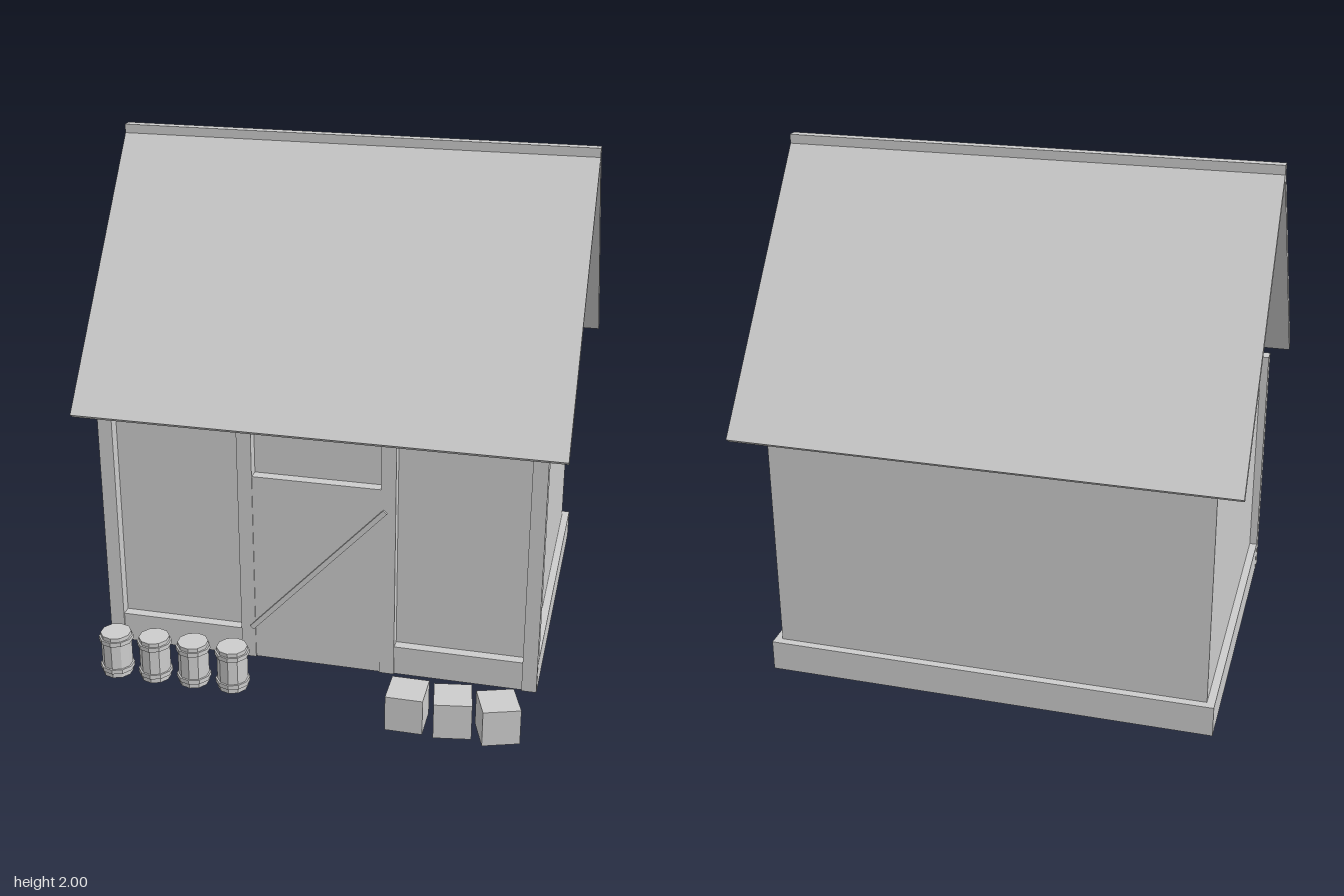
import * as THREE from 'three';

export function createModel() {
  const house = new THREE.Group();
  house.name = 'house';
  const grey = new THREE.MeshStandardMaterial({ color: 0xcccccc });
  grey.name = 'plainGrey';
  grey.flatShading = true;

  const add = (name, geometry, parent = house) => {
    const mesh = new THREE.Mesh(geometry, grey);
    mesh.name = name;
    parent.add(mesh);
    return mesh;
  };
  // Box given by its limits on each axis
  const block = (name, x0, x1, y0, y1, z0, z1) => {
    const mesh = add(name, new THREE.BoxGeometry(x1 - x0, y1 - y0, z1 - z0));
    mesh.position.set((x0 + x1) / 2, (y0 + y1) / 2, (z0 + z1) / 2);
    return mesh;
  };

  const ridgeZ = -0.153;

  // Foundation and walls
  block('foundation', -0.875, 0.875, 0, 0.122, -0.816, 0.51);
  block('walls', -0.845, 0.845, 0.122, 1.014, -0.785, 0.47);

  // Timber posts across the front
  for (const x of [-0.847, -0.286, 0.28, 0.845]) {
    block('frontPost', x - 0.029, x + 0.029, 0, 1.014, 0.46, 0.517);
  }

  // Door with diagonal brace
  block('door', -0.257, 0.251, 0.045, 0.805, 0.46, 0.513);
  const brace = add('doorBrace', new THREE.BoxGeometry(0.79, 0.02, 0.025));
  brace.position.set(0, 0.428, 0.513);
  brace.rotation.z = 0.82;

  // Thin gables standing above the side walls
  const triangle = new THREE.Shape([
    new THREE.Vector2(-0.631, 1.022),
    new THREE.Vector2(0.631, 1.022),
    new THREE.Vector2(0, 1.832),
  ]);
  for (const side of [-1, 1]) {
    const gable = add('gable', new THREE.ExtrudeGeometry(triangle, { depth: 0.008, bevelEnabled: false }));
    gable.rotation.y = Math.PI / 2;
    gable.position.set(side * 0.841 - 0.004, 0, -0.154);
  }

  // Roof slabs, mirrored about the ridge
  for (const side of [-1, 1]) {
    const slab = new THREE.Shape([
      new THREE.Vector2(0, 1.943),
      new THREE.Vector2(side * 0.73, 1.013),
      new THREE.Vector2(side * 0.754, 1.031),
      new THREE.Vector2(0, 1.99),
    ]);
    const roof = add('roofSlab', new THREE.ExtrudeGeometry(slab, { depth: 1.9, bevelEnabled: false }));
    roof.rotation.y = Math.PI / 2;
    roof.position.set(-0.95, 0, ridgeZ);
  }
  block('ridgeBeam', -0.95, 0.95, 1.965, 2, ridgeZ - 0.02, ridgeZ + 0.02);

  // Row of hooped barrels
  for (let i = 0; i < 4; i++) {
    const barrel = new THREE.Group();
    barrel.name = 'barrel';
    barrel.position.set(-0.765 + i * 0.159, 0, 0.733);
    house.add(barrel);
    add('barrelBody', new THREE.CylinderGeometry(0.06, 0.06, 0.178, 10), barrel).position.y = 0.089;
    for (const y of [0.03, 0.153]) {
      add('barrelHoop', new THREE.CylinderGeometry(0.067, 0.067, 0.018, 10), barrel).position.y = y;
    }
  }

  // Crates, each turned a little more
  [[0.42, 0], [0.592, 0.16], [0.762, 0.32]].forEach(([x, turn]) => {
    const crate = add('crate', new THREE.BoxGeometry(0.142, 0.144, 0.142));
    crate.position.set(x, 0.072, 0.815);
    crate.rotation.y = turn;
  });

  return house;
}
